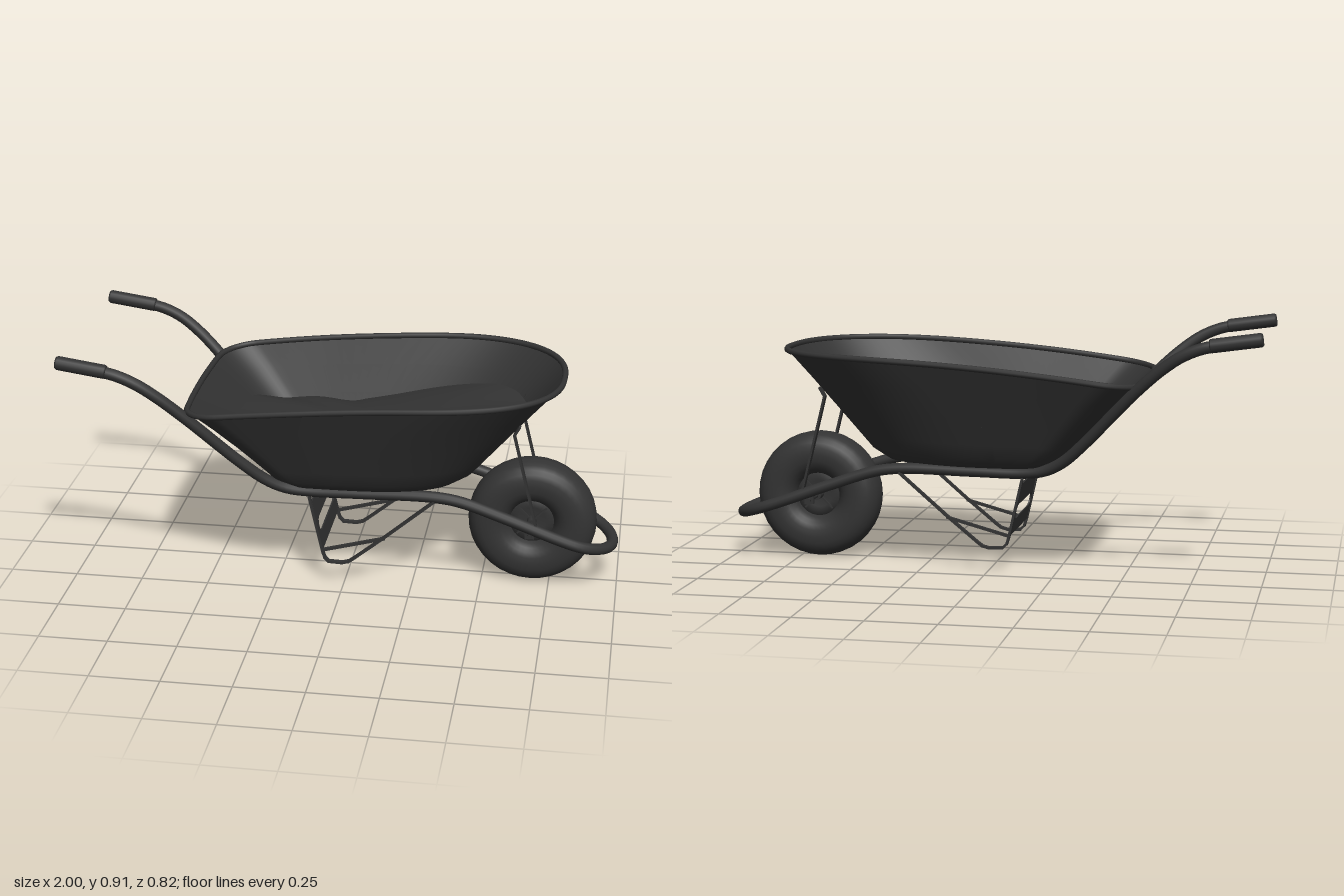
import * as THREE from 'three';

const V = (x, y, z) => new THREE.Vector3(x, y, z);
const { lerp, smoothstep } = THREE.MathUtils;
const dark = new THREE.MeshStandardMaterial({ color: 0x333333 });
const thin = new THREE.MeshStandardMaterial({ color: 0x333333, side: THREE.DoubleSide });

function mesh(name, geometry, parent, material = dark) {
  const m = new THREE.Mesh(geometry, material);
  m.name = name;
  parent.add(m);
  return m;
}

// Skin over closed rings of points; the last ring is closed to a centre point
function loft(rings, centre) {
  const n = rings[0].length, pos = [], idx = [];
  rings.forEach(r => r.forEach(p => pos.push(p.x, p.y, p.z)));
  pos.push(centre.x, centre.y, centre.z);
  const c = rings.length * n;
  for (let k = 0; k < rings.length; k++) {
    for (let i = 0; i < n; i++) {
      const j = (i + 1) % n, a = k * n + i, b = k * n + j;
      if (k === rings.length - 1) idx.push(a, b, c);
      else idx.push(a, b, b + n, a, b + n, a + n);
    }
  }
  const g = new THREE.BufferGeometry();
  g.setAttribute('position', new THREE.Float32BufferAttribute(pos, 3));
  g.setIndex(idx);
  g.computeVertexNormals();
  return g;
}

// Tray levels: height fraction, back x, front x, half width
const LEVELS = [[0, -0.17, 0.36, 0.18], [0.025, -0.205, 0.405, 0.207],
  [0.12, -0.255, 0.465, 0.247], [1, -0.54, 0.777, 0.4]];
const FLOOR = 0.382;
const rimY = x => 0.77 + 0.083 * x - 0.06 * x * x;

// One point of the tray wall: u runs round the outline, f is the height fraction
function trayPoint(u, f) {
  let k = 0;
  while (k < LEVELS.length - 2 && f > LEVELS[k + 1][0]) k++;
  const A = LEVELS[k], B = LEVELS[k + 1], t = (f - A[0]) / (B[0] - A[0]);
  const [xb, xf, w] = [1, 2, 3].map(i => lerp(A[i], B[i], t));
  const xc = lerp(-0.03, 0.25, f * f), r = lerp(0.07, 0.12, f);
  const s = Math.abs(u); // 0 = front, 1 = middle of the back
  let x, z;
  if (s < 0.45) { // blunt rounded front
    const a = s / 0.45 * Math.PI / 2;
    x = xc + (xf - xc) * Math.cos(a) ** 0.8;
    z = w * Math.sin(a) ** 0.8;
  } else if (s < 0.7) { // straight side
    x = lerp(xc, xb + r, (s - 0.45) / 0.25);
    z = w;
  } else if (s < 0.88) { // back corner
    const a = (s - 0.7) / 0.18 * Math.PI / 2;
    x = xb + r - r * Math.sin(a);
    z = w - r + r * Math.cos(a);
  } else { // back
    x = xb;
    z = (w - r) * (1 - s) / 0.12;
  }
  // Bowed back and a slight taper towards it
  if (s > 0.7) x -= 0.02 * (1 - (z / w) ** 2);
  z *= 1 - 0.03 * smoothstep(-x, 0.1, 0.55);
  return V(x, lerp(FLOOR, rimY(x), f), u < 0 ? -z : z);
}
const N = 100;
const us = Array.from({ length: N }, (_, i) => -1 + 2 * i / N);

function addTray(root) {
  const tray = new THREE.Group();
  tray.name = 'tray';
  root.add(tray);
  const rings = [1, 0.75, 0.5, 0.25, 0.12, 0.06, 0.025, 0].map(f => us.map(u => trayPoint(u, f)));
  mesh('trayShell', loft(rings, V(0.1, FLOOR, 0)), tray, thin);
  const rim = new THREE.CatmullRomCurve3(us.map(u => trayPoint(u, 1)), true);
  mesh('trayRim', new THREE.TubeGeometry(rim, 140, 0.011, 8, true), tray);

  // Load, heaped towards the front, with an uneven edge against the wall
  const edge = us.map(u => {
    const s = Math.abs(u);
    const f = 0.44 + 0.22 * (1 - smoothstep(s, 0.22, 0.5)) + 0.16 * smoothstep(s, 0.72, 0.95);
    return trayPoint(u, f + 0.012 * Math.sin(u * Math.PI * 5) + 0.01 * Math.sin(u * Math.PI * 9));
  });
  const heap = x => 0.58 + 0.07 * smoothstep(x, 0, 0.6);
  const c = V(0.08, heap(0.08), 0);
  const load = [1, 0.9, 0.8, 0.65, 0.45, 0.22].map(k => edge.map(p => {
    const q = c.clone().lerp(p, k);
    q.y = lerp(heap(q.x), p.y, k ** 3);
    return q;
  }));
  mesh('load', loft(load, c), tray, thin);
}

// Flat bar lying along a path in the x-y plane, at depth z
function strap(name, pts, z, width, thick, parent) {
  for (let i = 1; i < pts.length; i++) {
    const [a, b] = [pts[i - 1], pts[i]], dx = b[0] - a[0], dy = b[1] - a[1];
    const m = mesh(name, new THREE.BoxGeometry(Math.hypot(dx, dy) + thick * 0.6, thick, width), parent);
    m.position.set((a[0] + b[0]) / 2, (a[1] + b[1]) / 2, z);
    m.rotation.z = Math.atan2(dy, dx);
  }
}

function addFrame(root) {
  // One bent tube from grip to grip, looping round the wheel
  const half = [[-0.85, 0.867, 0.37], [-0.79, 0.855, 0.37], [-0.72, 0.826, 0.365], [-0.65, 0.778, 0.352],
    [-0.55, 0.688, 0.322], [-0.36, 0.49, 0.243], [-0.28, 0.418, 0.21], [-0.21, 0.381, 0.188],
    [-0.13, 0.368, 0.175], [0.05, 0.368, 0.17], [0.32, 0.37, 0.167], [0.42, 0.357, 0.165],
    [0.6, 0.298, 0.165], [0.78, 0.232, 0.165]].map(p => V(...p));
  for (let i = 1; i <= 4; i++) {
    const a = i * Math.PI / 10;
    const x = 0.813 + 0.165 * Math.sin(a);
    half.push(V(x, 0.232 - (x - 0.78) * 0.345, 0.165 * Math.cos(a)));
  }
  const path = [...half, V(0.978, 0.163, 0), ...half.slice().reverse().map(p => V(p.x, p.y, -p.z))];
  mesh('frameTube', new THREE.TubeGeometry(new THREE.CatmullRomCurve3(path), 200, 0.021, 12), root);

  for (const s of [1, -1]) {
    // Grip sleeve with rounded ends
    const grip = mesh('grip', new THREE.LatheGeometry([[0, -0.092], [0.021, -0.092], [0.025, -0.087],
      [0.025, 0.085], [0.021, 0.092], [0, 0.092]].map(p => new THREE.Vector2(...p)), 16), root);
    grip.position.set(-0.906, 0.877, s * 0.37);
    grip.rotation.z = Math.PI / 2 - 0.14;

    // Leg strap, its brace and the tray strut
    strap('leg', [[-0.13, 0.36], [-0.078, 0.13], [-0.07, 0.105], [-0.055, 0.09], [-0.005, 0.088],
      [0.02, 0.095], [0.04, 0.11], [0.15, 0.2], [0.33, 0.355]], s * 0.178, 0.018, 0.009, root);
    strap('legBrace', [[-0.077, 0.135], [0.15, 0.196]], s * 0.178, 0.014, 0.01, root);
    strap('trayStrut', [[0.632, 0.66], [0.614, 0.628], [0.7, 0.285], [0.705, 0.255]], s * 0.16, 0.025, 0.008, root);

    // Axle bracket under the tube
    const bracket = mesh('axleBracket', new THREE.BoxGeometry(0.035, 0.05, 0.012), root);
    bracket.position.set(0.68, 0.248, s * 0.155);
  }

  // Slotted panel between the legs
  const panel = new THREE.Shape([[-0.178, 0], [0.178, 0], [0.178, 0.194], [-0.178, 0.194]]
    .map(p => new THREE.Vector2(...p)));
  const slot = new THREE.Path();
  slot.absarc(0.125, 0.085, 0.027, -Math.PI / 2, Math.PI / 2);
  slot.absarc(-0.125, 0.085, 0.027, Math.PI / 2, Math.PI * 1.5);
  panel.holes.push(slot);
  const p = mesh('legPanel', new THREE.ExtrudeGeometry(panel, { depth: 0.006, bevelEnabled: false }), root);
  p.rotation.set(0, Math.PI / 2, 0.21, 'ZYX');
  p.position.set(-0.082, 0.135, 0);
}

function addWheel(root) {
  const wheel = new THREE.Group();
  wheel.name = 'wheel';
  wheel.position.set(0.68, 0.238, 0);
  wheel.rotation.x = Math.PI / 2;
  root.add(wheel);

  // Fat tyre with a slightly squared section
  const sq = v => Math.sign(v) * Math.abs(v) ** 0.85;
  const section = Array.from({ length: 25 }, (_, i) => {
    const a = i / 24 * Math.PI * 2;
    return new THREE.Vector2(0.157 + 0.08 * sq(Math.cos(a)), 0.082 * sq(Math.sin(a)));
  });
  mesh('tyre', new THREE.LatheGeometry(section, 36), wheel);

  // Recessed wheel disc, hub, axle and ribs
  const disc = [[0, -0.022], [0.05, -0.022], [0.09, -0.034], [0.09, 0.034],
    [0.05, 0.022], [0, 0.022]].map(q => new THREE.Vector2(...q));
  mesh('wheelDisc', new THREE.LatheGeometry(disc, 32), wheel);
  mesh('hub', new THREE.CylinderGeometry(0.018, 0.018, 0.13, 16), wheel);
  mesh('axle', new THREE.CylinderGeometry(0.008, 0.008, 0.35, 12), wheel);
  for (let i = 0; i < 2; i++) {
    const rib = mesh('hubRib', new THREE.BoxGeometry(0.15, 0.065, 0.006), wheel);
    rib.rotation.y = Math.PI / 4 + i * Math.PI / 2;
  }
}

export function createModel() {
  const root = new THREE.Group();
  root.name = 'wheelbarrow';
  addTray(root);
  addFrame(root);
  addWheel(root);
  return root;
}
